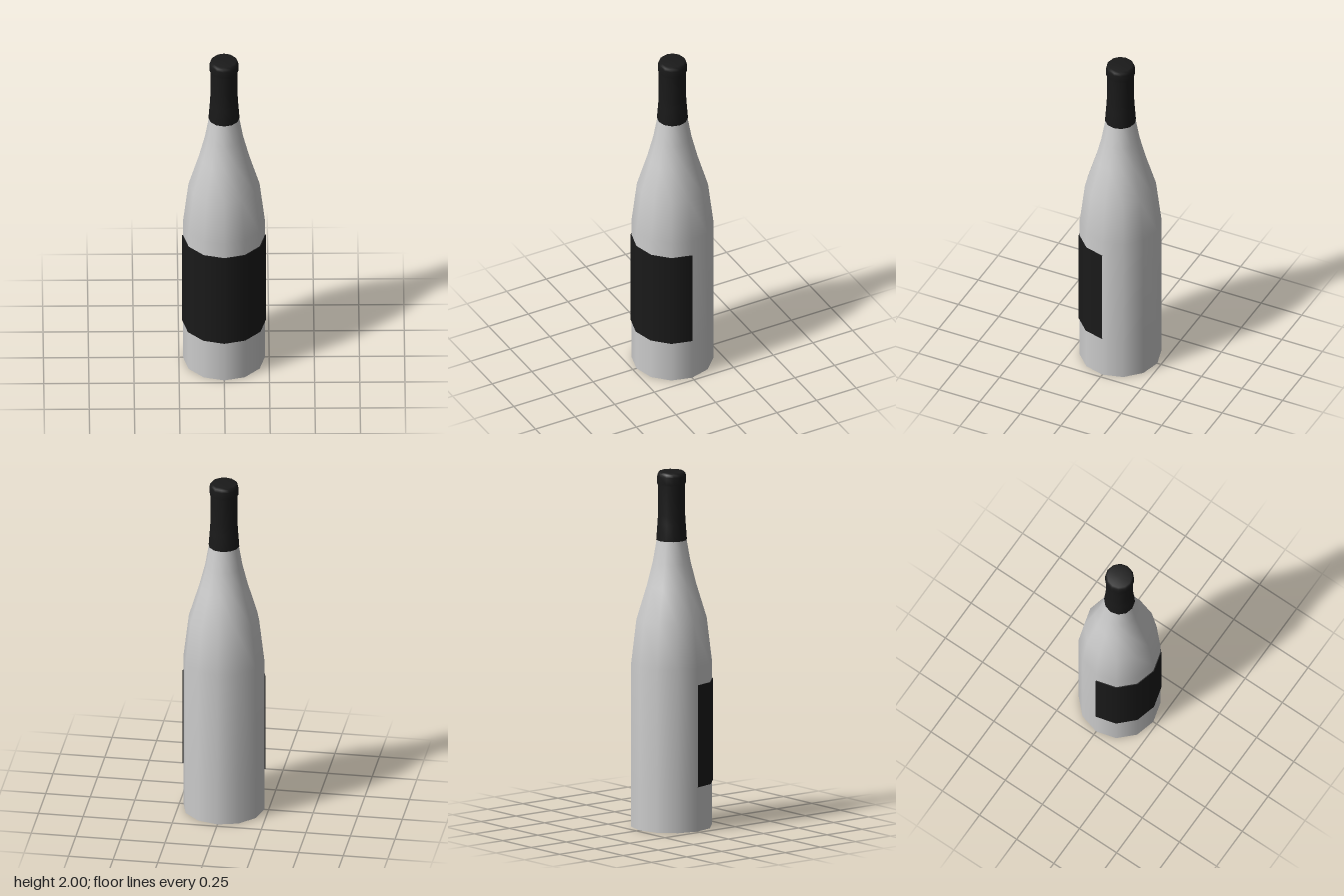
import * as THREE from 'three';

const SIDES = 12;
const grey = new THREE.MeshStandardMaterial({ color: 0xcccccc });
const dark = new THREE.MeshStandardMaterial({ color: 0x1a1a1a });
const darkThin = new THREE.MeshStandardMaterial({ color: 0x1a1a1a, side: THREE.DoubleSide });

// Revolve [radius, height] pairs, listed from the bottom up
function turned(name, profile, material, segments = SIDES, start = 0, sweep = Math.PI * 2) {
  const points = profile.map(([r, y]) => new THREE.Vector2(r, y));
  const mesh = new THREE.Mesh(new THREE.LatheGeometry(points, segments, start, sweep), material);
  mesh.name = name;
  return mesh;
}

export function createModel() {
  const bottle = new THREE.Group();
  bottle.name = 'bottle';

  // Glass: straight wall, sloping shoulder and slim neck
  bottle.add(turned('glassBody', [
    [0.227, 0], [0.227, 0.25], [0.227, 0.92], [0.197, 1.17],
    [0.139, 1.36], [0.106, 1.49], [0.083, 1.62],
  ], grey));

  // Flat underside
  const base = new THREE.Mesh(new THREE.CircleGeometry(0.227, SIDES), dark);
  base.name = 'base';
  base.rotation.x = Math.PI / 2;
  bottle.add(base);

  // Foil sleeve over the neck, with a rolled lip and a closed top
  bottle.add(turned('neckFoil', [
    [0.08, 1.615], [0.086, 1.615], [0.079, 1.71], [0.076, 1.76], [0.076, 1.925],
    [0.081, 1.935], [0.081, 1.975], [0.077, 1.99], [0.068, 2], [0, 2],
  ], dark));

  // Label wrapped around the front half
  bottle.add(turned('label', [[0.232, 0.25], [0.232, 0.825]], darkThin,
    SIDES / 2, -Math.PI / 2, Math.PI));

  // Thin edges joining the label to the glass
  for (const y of [0.25, 0.825]) {
    const edge = new THREE.Mesh(
      new THREE.RingGeometry(0.226, 0.232, SIDES / 2, 1, 0, Math.PI), darkThin);
    edge.name = 'labelEdge';
    edge.rotation.x = Math.PI / 2;
    edge.position.y = y;
    bottle.add(edge);
  }
  return bottle;
}
